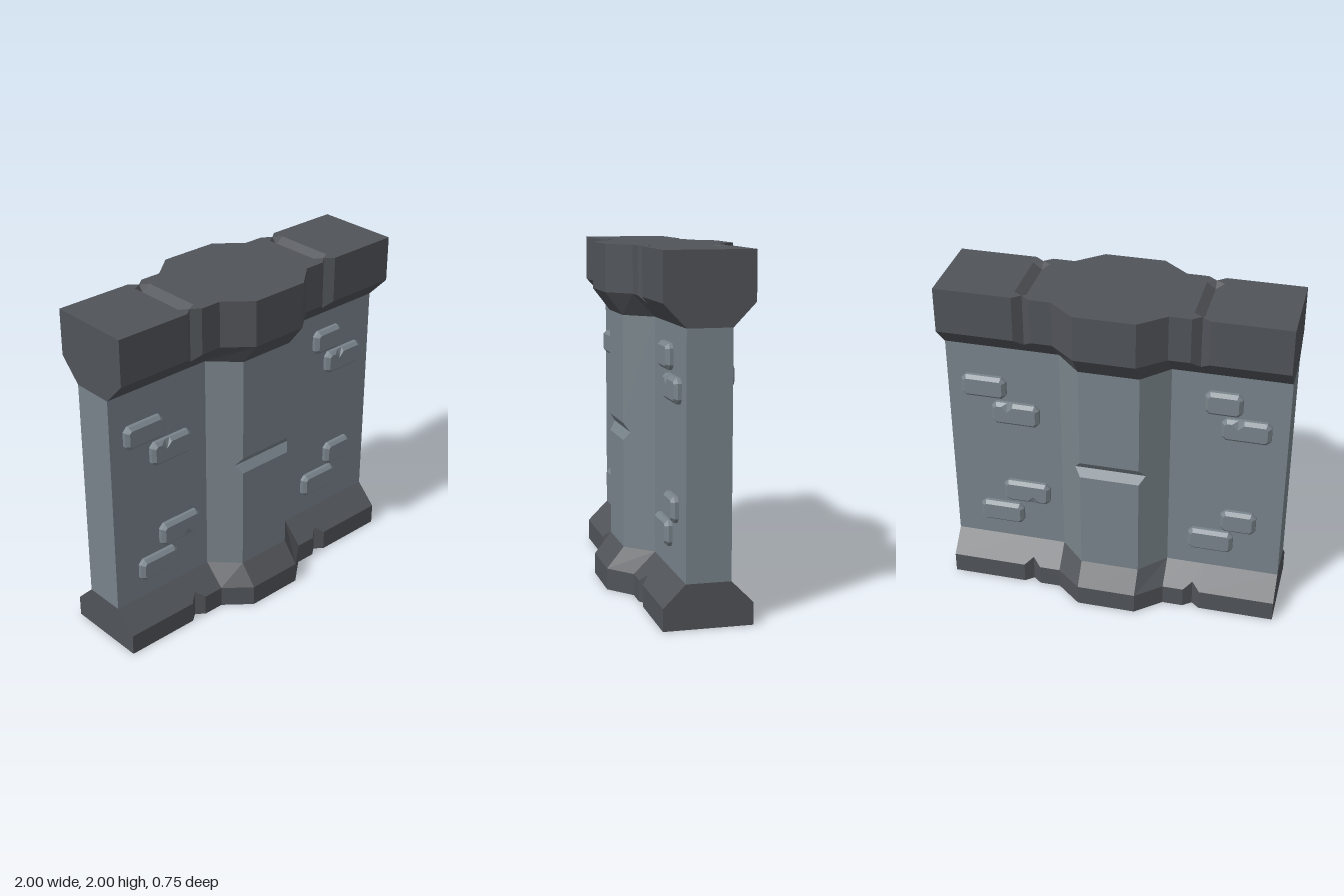
import * as THREE from 'three';

const bodyMat = new THREE.MeshStandardMaterial({ color: 0x78838a, side: THREE.DoubleSide });
bodyMat.name = 'wall stone';
const trimMat = new THREE.MeshStandardMaterial({ color: 0x505358, side: THREE.DoubleSide });
trimMat.name = 'dark trim stone';
bodyMat.color.set(0x78838a);

function mesh(name, geometry, material) {
  const m = new THREE.Mesh(geometry, material);
  m.name = name;
  return m;
}

function faceted(points) {
  const g = new THREE.BufferGeometry();
  g.setAttribute('position', new THREE.Float32BufferAttribute(points.flat(), 3));
  g.computeVertexNormals();
  return g;
}

// Skin a stack of closed rings with flat faces
function loft(rings) {
  const pts = [];
  for (let j = 0; j < rings.length - 1; j++) {
    const lo = rings[j], hi = rings[j + 1], n = lo.length;
    for (let i = 0; i < n; i++) {
      const k = (i + 1) % n;
      pts.push(lo[i], lo[k], hi[k], lo[i], hi[k], hi[i]);
    }
  }
  return faceted(pts);
}

const flatShape = (pts) => new THREE.ShapeGeometry(new THREE.Shape(pts.map(([x, y]) => new THREE.Vector2(x, y))));

// Turn half a wall outline (x >= 0, on the front) into a full ring
function wallRing(half) {
  const front = [...half.map(([x, y, z]) => [-x, y, z]).reverse(), ...half];
  return [...front, ...front.map(([x, y, z]) => [-x, y, -z])];
}

// Thick trim outline with a V notch; notchY is the height of the notch's root
const trimRing = (y, notchY = y) => wallRing([
  [0.175, y, 0.375], [0.325, y, 0.25], [0.45, y, 0.25],
  [0.5, notchY, 0.21], [0.55, y, 0.25], [1, y, 0.25],
]);

// Thin wall outline with the central pillar; cut pushes the pillar face inwards
const wallSection = (y, cut = 0) => wallRing([
  [0.175 + cut, y, 0.275 - cut], [0.325, y, 0.125], [0.45, y, 0.125],
  [0.5, y, 0.125], [0.55, y, 0.125], [1, y, 0.125],
]);

// Top surface in three pieces, leaving out the two grooves
function topSurface() {
  const group = new THREE.Group();
  group.name = 'topSurface';
  const groove = [[0.55, 0.25], [0.5, 0.21], [0.55, 0.18], [0.55, -0.18], [0.5, -0.21], [0.55, -0.25]];
  const wing = [[1, 0.25], ...groove, [1, -0.25]];
  const quarter = [[0.5, 0.21], [0.45, 0.25], [0.325, 0.25], [0.175, 0.375]];
  const side = [[0.45, -0.18], [0.45, 0.18], ...quarter];
  const upper = [...side, ...quarter.map(([x, z]) => [-x, z]).reverse(), [-0.45, 0.18]];
  const lower = [[-0.45, -0.18], ...quarter.map(([x, z]) => [-x, -z]), ...quarter.map(([x, z]) => [x, -z]).reverse()];
  // order the lower half so that it runs from left to right
  const leftLow = quarter.map(([x, z]) => [-x, -z]);
  const rightLow = quarter.map(([x, z]) => [x, -z]).reverse();
  lower.splice(0, lower.length, [-0.45, -0.18], ...leftLow, ...rightLow);
  const centre = [...upper, ...lower];

  const outlines = { centreTop: centre, leftTop: wing, rightTop: wing.map(([x, z]) => [-x, z]) };
  for (const [name, outline] of Object.entries(outlines)) {
    const m = mesh(name, flatShape(outline).rotateX(-Math.PI / 2), trimMat);
    m.position.y = 2;
    group.add(m);
  }

  // V grooves with pointed ends
  for (const x of [-0.5, 0.5]) {
    const a = [x - 0.05, 2, 0.18], b = [x + 0.05, 2, 0.18], c = [x, 1.96, 0.18], tip = [x, 2, 0.21];
    const [a2, b2, c2, tip2] = [a, b, c, tip].map(([px, py, pz]) => [px, py, -pz]);
    group.add(mesh('topGroove', faceted([
      a, c, c2, a, c2, a2, c, b, b2, c, b2, c2,
      a, tip, c, c, tip, b, a2, c2, tip2, c2, b2, tip2,
    ]), trimMat));
  }
  return group;
}

// Raised brick with bevelled rim; chip = [x, +1 top / -1 bottom]
function brick(x0, x1, y0, y1, chip) {
  const ring = (inset, k, z, depth) => {
    const l = x0 + inset, r = x1 - inset, b = y0 + inset, t = y1 - inset;
    const notch = (s, y) => (chip && chip[1] === s
      ? [[chip[0] + s * 0.034, y], [chip[0], y - s * depth], [chip[0] - s * 0.034, y]] : []);
    return [
      [l + k, b], ...notch(-1, b), [r - k, b], [r, b + k], [r, t - k],
      [r - k, t], ...notch(1, t), [l + k, t], [l, t - k], [l, b + k],
    ].map(([x, y]) => [x, y, z]);
  };
  const face = ring(0.02, 0.012, 0.165, 0.035);
  const group = new THREE.Group();
  group.name = 'brick';
  group.add(mesh('brickRim', loft([ring(0, 0.027, 0.12, 0), ring(0, 0.027, 0.145, 0), face]), bodyMat));
  group.add(mesh('brickFace', flatShape(face).translate(0, 0, 0.165), bodyMat));
  return group;
}

const BRICKS = [
  [-0.91, -0.645, 1.265, 1.405],
  [-0.735, -0.45, 1.095, 1.24, [-0.64, 1]],
  [-0.685, -0.4, 0.54, 0.685, [-0.5, -1]],
  [-0.84, -0.57, 0.37, 0.51],
  [0.52, 0.735, 1.35, 1.495],
  [0.62, 0.905, 1.19, 1.33, [0.715, 1]],
  [0.64, 0.85, 0.54, 0.685],
  [0.45, 0.72, 0.38, 0.525],
];

export function createModel() {
  const model = new THREE.Group();
  model.name = 'stoneWall';

  // Hollow base, wall with notched pillar, and overhanging top
  model.add(mesh('baseTrim', loft([trimRing(0), trimRing(0.125, 0.165), wallSection(0.25)]), trimMat));
  model.add(mesh('wall', loft([
    wallSection(0.25), wallSection(0.88), wallSection(0.93, 0.035), wallSection(0.98), wallSection(1.6),
  ]), bodyMat));
  model.add(mesh('topTrim', loft([wallSection(1.6), trimRing(1.73, 1.69), trimRing(2)]), trimMat));
  model.add(topSurface());

  // The same bricks on both faces, turned half way round
  for (const [name, turn] of [['frontBricks', 0], ['backBricks', Math.PI]]) {
    const group = new THREE.Group();
    group.name = name;
    for (const b of BRICKS) group.add(brick(...b));
    group.rotation.y = turn;
    model.add(group);
  }
  return model;
}
